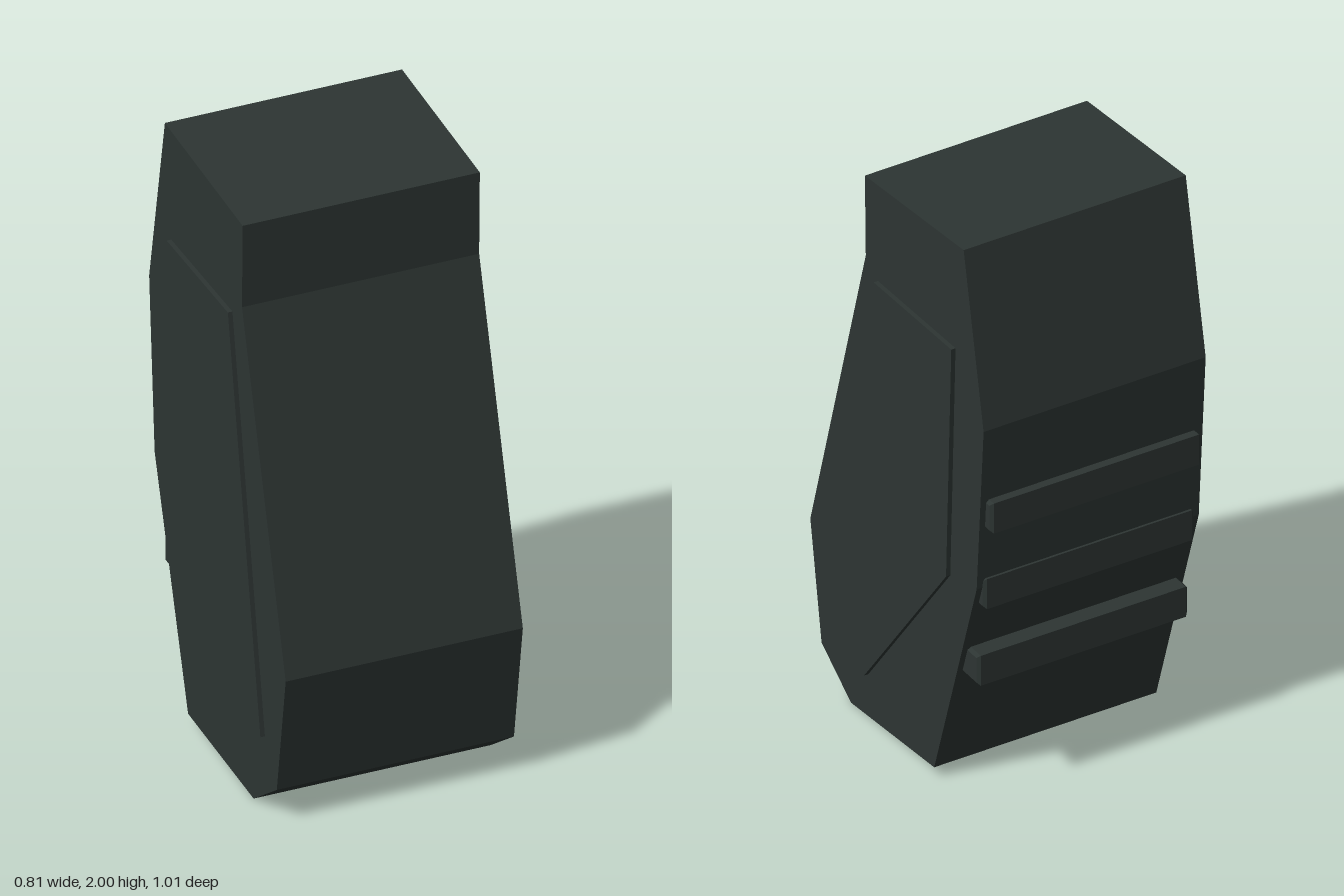
import * as THREE from 'three';

const darkGrey = new THREE.MeshStandardMaterial({ color: 0x2d3533 });
darkGrey.name = 'darkGrey';

// Extrudes a side outline of [z, y] points across x, centred on x = 0.
function sideExtrude(points, width, bevel = 0) {
  const shape = new THREE.Shape(points.map(([z, y]) => new THREE.Vector2(z, y)));
  const depth = width - 2 * bevel;
  const geometry = new THREE.ExtrudeGeometry(shape, {
    depth,
    bevelEnabled: bevel > 0,
    bevelThickness: bevel,
    bevelSize: bevel,
    bevelOffset: -bevel,
    bevelSegments: 1,
  });
  geometry.translate(0, 0, -depth / 2);
  geometry.rotateY(-Math.PI / 2);
  return geometry;
}

function addPart(group, name, geometry) {
  const mesh = new THREE.Mesh(geometry, darkGrey);
  mesh.name = name;
  group.add(mesh);
  return mesh;
}

export function createModel() {
  const model = new THREE.Group();
  model.name = 'grip';

  // Main faceted body
  addPart(model, 'body', sideExtrude([
    [0.27, 0], [-0.21, 0.04], [-0.455, 0.82], [-0.495, 1.41], [-0.38, 2],
    [0.19, 1.945], [0.185, 1.66], [0.505, 0.53], [0.44, 0.12],
  ], 0.78));

  // Raised panel on each side
  const panelOutline = [
    [0.17, 0.16], [-0.303, 0.785], [-0.333, 1.62], [0.115, 1.608], [0.353, 0.26],
  ];
  for (const [name, side] of [['leftPanel', 1], ['rightPanel', -1]]) {
    const panel = addPart(model, name, sideExtrude(panelOutline, 0.025));
    panel.position.x = side * 0.3925;
  }

  // Horizontal ribs on the back, with slightly chamfered edges
  [[1.093, -0.505], [0.798, -0.465], [0.502, -0.43]].forEach(([y, back], i) => {
    const h = 0.054, front = back + 0.1;
    addPart(model, `backRib${i + 1}`, sideExtrude([
      [front, y - h], [back, y - h], [back, y + h], [front, y + h],
    ], 0.74, 0.01));
  });

  return model;
}
